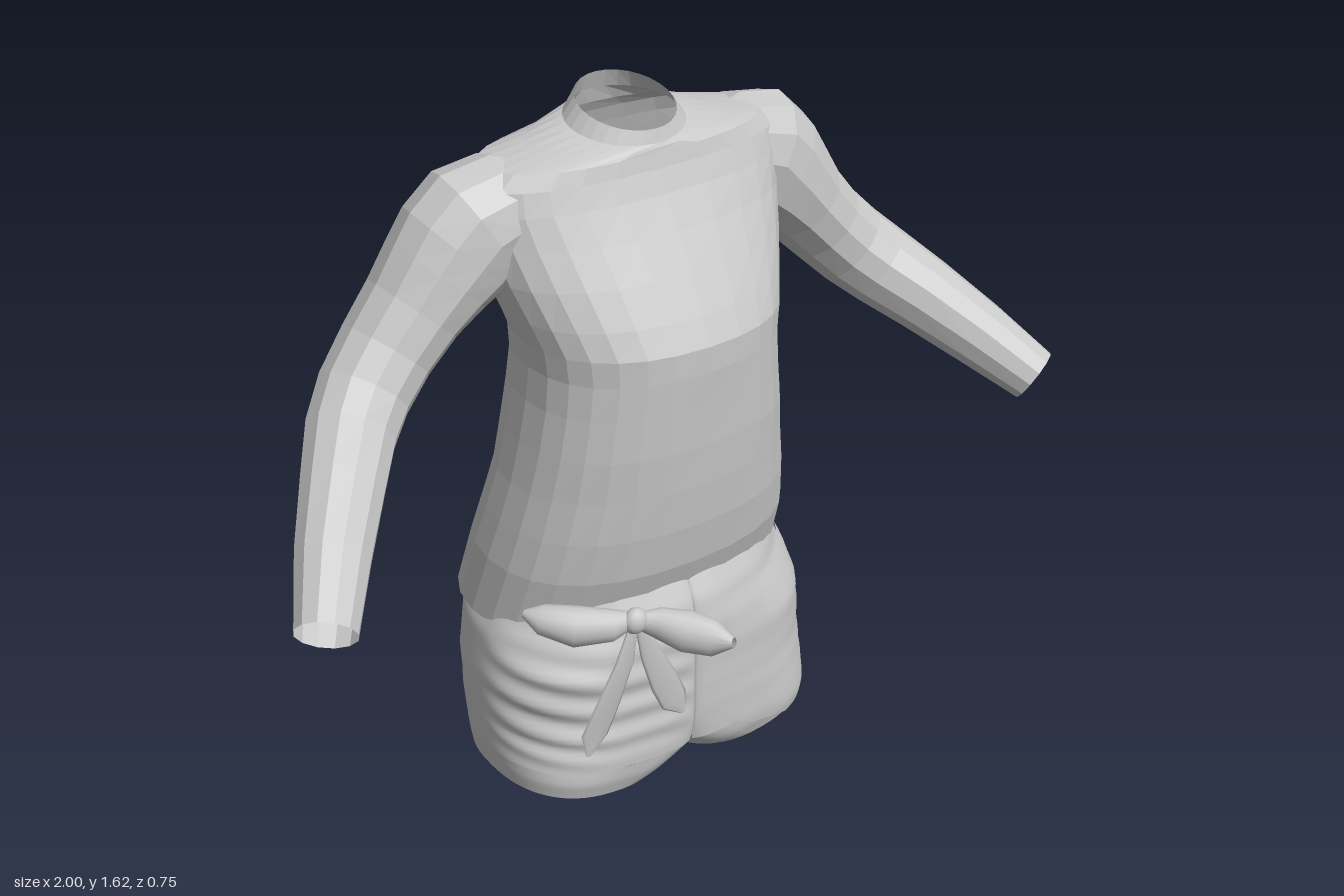
import * as THREE from 'three';

const cloth = new THREE.MeshStandardMaterial({ color: 0xc8c8c8, side: THREE.DoubleSide });
cloth.name = 'greyCloth';

// Skin a list of rings (arrays of Vector3); closed joins each ring end to its start
function loft(name, rings, { closed = true, flat = false, flip = false } = {}) {
  const n = rings[0].length, index = [];
  for (let i = 0; i < rings.length - 1; i++) {
    for (let j = 0; j < (closed ? n : n - 1); j++) {
      const k = (j + 1) % n;
      const a = i * n + j, b = i * n + k, c = a + n, d = b + n;
      if (flip) index.push(a, b, c, b, d, c);
      else index.push(a, c, b, b, c, d);
    }
  }
  let geo = new THREE.BufferGeometry().setFromPoints(rings.flat());
  geo.setIndex(index);
  if (flat) geo = geo.toNonIndexed();
  geo.computeVertexNormals();
  const mesh = new THREE.Mesh(geo, cloth);
  mesh.name = name;
  return mesh;
}

const spow = (v, n) => Math.sign(v) * Math.abs(v) ** (2 / n);
const clamp01 = v => THREE.MathUtils.clamp(v, 0, 1);

// Interpolate rows of numbers by their rising first entry
function sample(rows, key) {
  let i = 0;
  while (i < rows.length - 2 && key > rows[i + 1][0]) i++;
  const a = rows[i], b = rows[i + 1];
  const t = clamp01((key - a[0]) / (b[0] - a[0]));
  return a.map((v, k) => v + (b[k] - v) * t);
}

// Sweep elliptical rings along stations [x, y, z, radiusSide, radiusUp]
function sweep(name, stations, sides, ref, options) {
  const p = stations.map(s => new THREE.Vector3(s[0], s[1], s[2]));
  const rings = stations.map((st, i) => {
    const t = p[Math.min(i + 1, p.length - 1)].clone().sub(p[Math.max(i - 1, 0)]).normalize();
    const s = ref.clone().addScaledVector(t, -ref.dot(t)).normalize();
    const u = s.clone().cross(t);
    return Array.from({ length: sides }, (_, j) => {
      const a = j / sides * Math.PI * 2;
      return p[i].clone().addScaledVector(s, st[3] * Math.cos(a)).addScaledVector(u, st[4] * Math.sin(a));
    });
  });
  return loft(name, rings, options);
}

// Shirt body rows: y, half width, front z, back z, slope of y along z, squareness
const SHIRT = [
  [0.445, 0.40, 0.12, -0.37, -0.10, 2.3],
  [0.60, 0.382, 0.18, -0.332, -0.06, 2.3],
  [0.70, 0.362, 0.20, -0.305, -0.03, 2.3],
  [0.80, 0.34, 0.212, -0.282, 0, 2.3],
  [0.90, 0.322, 0.22, -0.268, 0, 2.4],
  [1.00, 0.306, 0.225, -0.26, 0, 2.4],
  [1.08, 0.30, 0.23, -0.255, 0, 2.3],
  [1.14, 0.307, 0.23, -0.252, 0, 2.25],
  [1.20, 0.326, 0.20, -0.255, 0, 2.25],
  [1.28, 0.352, 0.155, -0.268, 0, 2.25],
  [1.36, 0.372, 0.108, -0.278, 0, 2.3],
  [1.43, 0.385, 0.07, -0.262, 0, 2.4],
  [1.48, 0.38, 0.05, -0.245, 0, 2.4],
  [1.515, 0.34, 0.042, -0.23, -0.02, 2.4],
  [1.533, 0.235, 0.04, -0.215, -0.08, 2.2],
  [1.555, 0.135, 0.036, -0.205, -0.2, 2],
  [1.59, 0.108, 0.028, -0.19, -0.28, 2],
];

function shirtBody() {
  const sides = 28;
  return loft('shirtBody', SHIRT.map(([y, hw, zf, zb, slope, n]) =>
    Array.from({ length: sides }, (_, j) => {
      const a = j / sides * Math.PI * 2, mid = (zf + zb) / 2, hz = (zf - zb) / 2;
      const dz = hz * spow(Math.sin(a), n);
      return new THREE.Vector3(hw * spow(Math.cos(a), n), y + slope * dz, mid + dz);
    })), { flat: true });
}

// Sleeve from inside the shoulder to the open cuff
const SLEEVE = [
  [0.20, 1.415, -0.10, 0.11, 0.085],
  [0.30, 1.408, -0.105, 0.12, 0.126],
  [0.36, 1.388, -0.11, 0.123, 0.145],
  [0.405, 1.345, -0.115, 0.122, 0.143],
  [0.45, 1.30, -0.118, 0.119, 0.127],
  [0.51, 1.235, -0.12, 0.113, 0.109],
  [0.58, 1.16, -0.115, 0.107, 0.102],
  [0.65, 1.09, -0.092, 0.102, 0.10],
  [0.71, 1.035, -0.045, 0.096, 0.097],
  [0.775, 0.975, 0.035, 0.088, 0.09],
  [0.86, 0.89, 0.14, 0.078, 0.08],
  [0.943, 0.80, 0.255, 0.064, 0.066],
];

// Half of the shorts, rows: y, inner x, outer x, front z, back z
const SHORTS = [
  [0.00, 0.018, 0.41, 0.17, -0.265],
  [0.05, 0.008, 0.416, 0.188, -0.282],
  [0.09, -0.03, 0.419, 0.195, -0.297],
  [0.20, -0.03, 0.42, 0.20, -0.335],
  [0.30, -0.03, 0.42, 0.20, -0.352],
  [0.42, -0.03, 0.405, 0.20, -0.345],
  [0.48, -0.03, 0.375, 0.187, -0.315],
  [0.55, -0.03, 0.33, 0.15, -0.25],
];
const CROTCH = 0.09, WAIST = 0.55;

function shortsPoint(side, y, a, puff = 0) {
  const [, xi, xo, zf, zb] = sample(SHORTS, y);
  const c = Math.cos(a), s = Math.sin(a);
  // the front centre is filled out, the back keeps a soft cleft
  const n = c < 0 ? 2.4 + (s > 0 ? 6 : 1) * Math.min(1, y / 0.15) : 2.4;
  const cx = (xi + xo) / 2, cz = (zf + zb) / 2;
  const fold = Math.sin(Math.PI * clamp01((y - 0.08) / 0.4));
  const front = side < 0 ? Math.max(0, s) : 0.12;
  const crease = 0.008 * fold * front * Math.max(0, c + 0.6) * Math.sin(y * 85 + 3 * a);
  const x = cx + ((xo - xi) / 2 + puff + crease) * spow(c, n);
  // the hips round off towards the sides, more so in front under the shirt
  const round = 0.24 * Math.min(1, y / 0.25) + (s > 0 ? 0.42 * clamp01((y - 0.36) / 0.1) : 0);
  const hip = 1 - round * (Math.max(0, x) / 0.42) ** 2;
  const z = cz + ((zf - zb) / 2 + puff + crease) * spow(s, n) * hip;
  const hem = 0.13 * Math.max(0, x) * Math.max(0, 1 - y / 0.2);
  return new THREE.Vector3(side * x, y + hem, z);
}

// Closed leg tube below the crotch
function shortsLeg(name, side) {
  const rows = 8, sides = 56;
  const rings = Array.from({ length: rows + 1 }, (_, i) =>
    Array.from({ length: sides }, (_, j) => shortsPoint(side, CROTCH * i / rows, j / sides * Math.PI * 2)));
  return loft(name, rings, { flip: side < 0 });
}

// Hip shell above the crotch, open along the centre where both halves meet
function shortsHip(name, side) {
  const rows = 34, cols = 60;
  const rings = Array.from({ length: rows + 1 }, (_, i) =>
    Array.from({ length: cols + 1 }, (_, j) => {
      const y = CROTCH + (WAIST - CROTCH) * i / rows;
      const p = shortsPoint(side, y, -2.55 + 4.8 * j / cols);
      p.x = side * Math.max(0, side * p.x);
      return p;
    }));
  return loft(name, rings, { closed: false, flip: side < 0 });
}

// Wrapped front panel: angle round the hip against its lower edge
const EDGE = [[-0.22, 0.44], [-0.2, 0.25], [0, 0.12], [0.3, 0.045], [0.6, 0.012], [1.3, 0.015],
  [1.57, 0.05], [1.72, 0.19], [1.85, 0.3], [2.3, 0.42]];

function wrapPanel() {
  const cols = 60, rows = 20;
  const rings = Array.from({ length: rows + 1 }, (_, i) =>
    Array.from({ length: cols + 1 }, (_, j) => {
      const a = -0.22 + 2.52 * j / cols, low = sample(EDGE, a)[1];
      return shortsPoint(1, low + (0.455 - low) * i / rows, a, 0.008);
    }));
  return loft('wrapPanel', rings, { closed: false });
}

// Tied bow: two puffed loops, two flat tails and a knot
function bow() {
  const g = new THREE.Group();
  g.name = 'bow';
  const up = new THREE.Vector3(0, 1, 0), across = new THREE.Vector3(1, 0, 0);
  g.add(sweep('outerLoop', [
    [-0.18, 0.52, 0.215, 0.015, 0.012], [-0.24, 0.52, 0.205, 0.038, 0.03],
    [-0.31, 0.522, 0.165, 0.048, 0.042], [-0.365, 0.535, 0.115, 0.034, 0.036],
    [-0.392, 0.545, 0.085, 0.008, 0.01]], 14, up));
  g.add(sweep('innerLoop', [
    [-0.19, 0.52, 0.215, 0.016, 0.012], [-0.14, 0.505, 0.235, 0.036, 0.03],
    [-0.09, 0.485, 0.275, 0.05, 0.044], [-0.05, 0.478, 0.325, 0.044, 0.034],
    [-0.032, 0.485, 0.372, 0.012, 0.01]], 14, up));
  g.add(sweep('outerTail', [
    [-0.19, 0.52, 0.22, 0.012, 0.006], [-0.22, 0.42, 0.222, 0.026, 0.006],
    [-0.26, 0.30, 0.205, 0.036, 0.005], [-0.283, 0.235, 0.195, 0.038, 0.004],
    [-0.298, 0.18, 0.19, 0.006, 0.003]], 10, across));
  g.add(sweep('innerTail', [
    [-0.18, 0.52, 0.22, 0.012, 0.006], [-0.15, 0.42, 0.222, 0.026, 0.006],
    [-0.105, 0.32, 0.213, 0.036, 0.005], [-0.075, 0.255, 0.21, 0.035, 0.004],
    [-0.045, 0.205, 0.205, 0.006, 0.003]], 10, across));
  const knot = new THREE.Mesh(new THREE.SphereGeometry(0.03, 14, 10), cloth);
  knot.name = 'knot';
  knot.position.set(-0.19, 0.522, 0.222);
  knot.scale.set(1, 1.05, 0.8);
  g.add(knot);
  return g;
}

export function createModel() {
  const model = new THREE.Group();
  model.name = 'shirtAndShorts';
  model.add(shirtBody(), wrapPanel(), bow());
  const depth = new THREE.Vector3(0, 0, 1);
  for (const [name, side] of [['left', 1], ['right', -1]]) {
    const path = SLEEVE.map(([x, ...rest]) => [side * x, ...rest]);
    model.add(sweep(name + 'Sleeve', path, 12, depth, { flat: true }));
    model.add(shortsLeg(name + 'ShortsLeg', side), shortsHip(name + 'ShortsHip', side));
  }
  return model;
}
